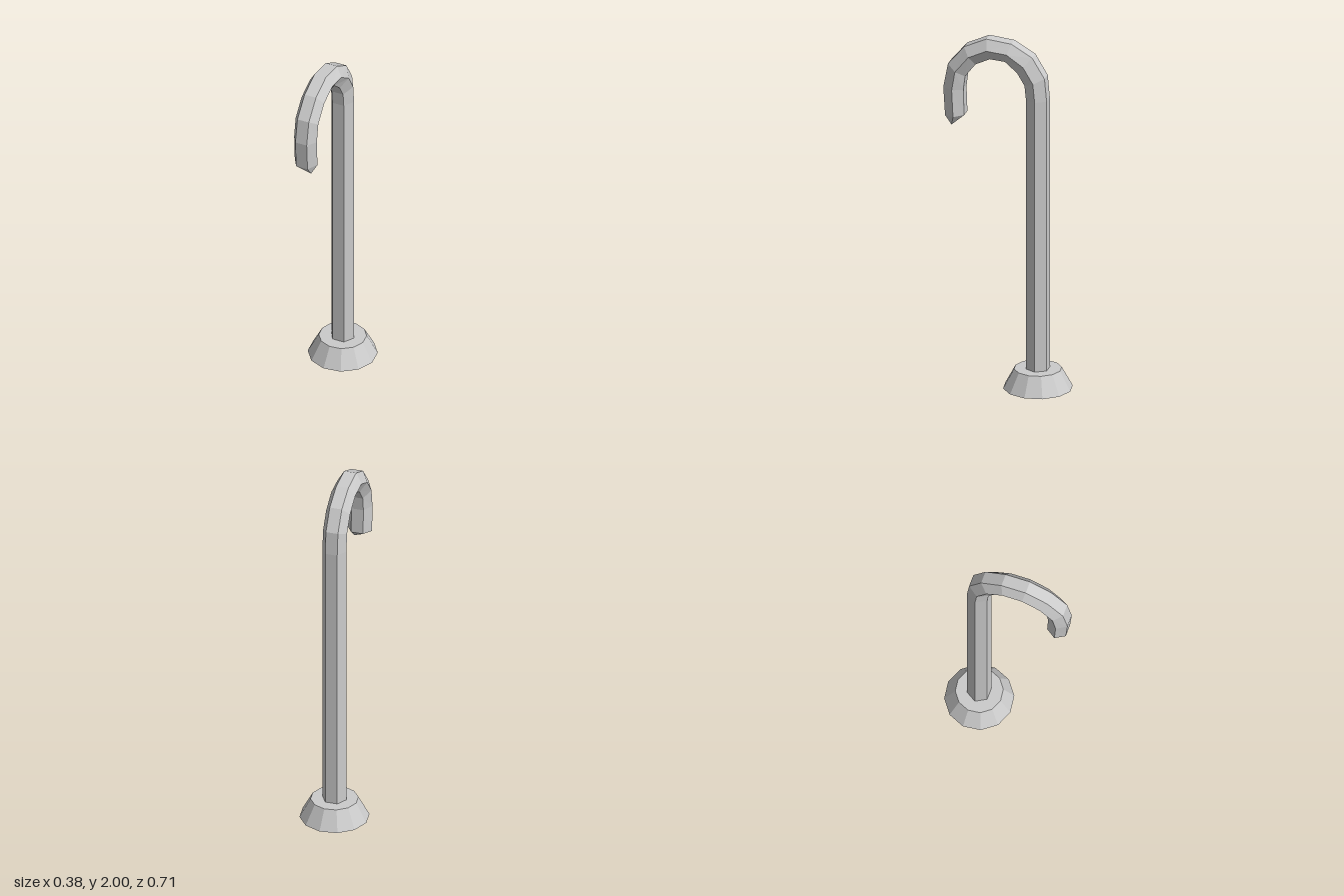
import * as THREE from 'three';

const material = new THREE.MeshStandardMaterial({ color: 0xcccccc, flatShading: true });
const poleZ = -0.166;

// Hexagonal ring spanning an outer and an inner [z, y] point of the bend
function hexRing([zo, yo], [zi, yi]) {
  const zm = (zo + zi) / 2, ym = (yo + yi) / 2;
  const flat = 0.034, wide = 0.068;
  return [
    [flat, yo, zo], [wide, ym, zm], [flat, yi, zi],
    [-flat, yi, zi], [-wide, ym, zm], [-flat, yo, zo],
  ];
}

// Skin a list of rings, closing the far end with an apex
function loft(rings, apex) {
  const pos = [];
  const tri = (...pts) => pts.forEach((p) => pos.push(...p));
  for (let k = 0; k < rings.length; k++) {
    const r0 = rings[k], r1 = rings[k + 1], n = r0.length;
    for (let i = 0; i < n; i++) {
      const j = (i + 1) % n;
      if (r1) {
        tri(r0[i], r1[i], r1[j]);
        tri(r0[i], r1[j], r0[j]);
      } else {
        tri(r0[i], apex, r0[j]);
      }
    }
  }
  const geometry = new THREE.BufferGeometry();
  geometry.setAttribute('position', new THREE.Float32BufferAttribute(pos, 3));
  geometry.computeVertexNormals();
  return geometry;
}

export function createModel() {
  const model = new THREE.Group();

  // Flared twelve-sided foot
  const foot = new THREE.Mesh(
    new THREE.CylinderGeometry(0.13, 0.19, 0.11, 12, 1, false, THREE.MathUtils.degToRad(-7.5)),
    material
  );
  foot.name = 'foot';
  foot.position.set(0, 0.055, poleZ);
  model.add(foot);

  // Straight pole running into the hooked top: outer and inner edges as [z, y]
  const outer = [
    [-0.224, 0.1], [-0.224, 1.67], [-0.212, 1.8], [-0.143, 1.915], [-0.026, 1.984],
    [0.114, 2.0], [0.239, 1.943], [0.329, 1.836], [0.355, 1.7], [0.345, 1.537],
  ];
  const inner = [
    [-0.108, 0.1], [-0.108, 1.67], [-0.1, 1.75], [-0.058, 1.82], [0.01, 1.878],
    [0.095, 1.885], [0.175, 1.847], [0.233, 1.772], [0.243, 1.693], [0.238, 1.547],
  ];
  const rings = outer.map((o, i) => hexRing(o, inner[i]));
  // The hook ends in a slightly off-centre point
  const pole = new THREE.Mesh(loft(rings, [0.038, 1.487, 0.308]), material);
  pole.name = 'hookedPole';
  model.add(pole);

  return model;
}
